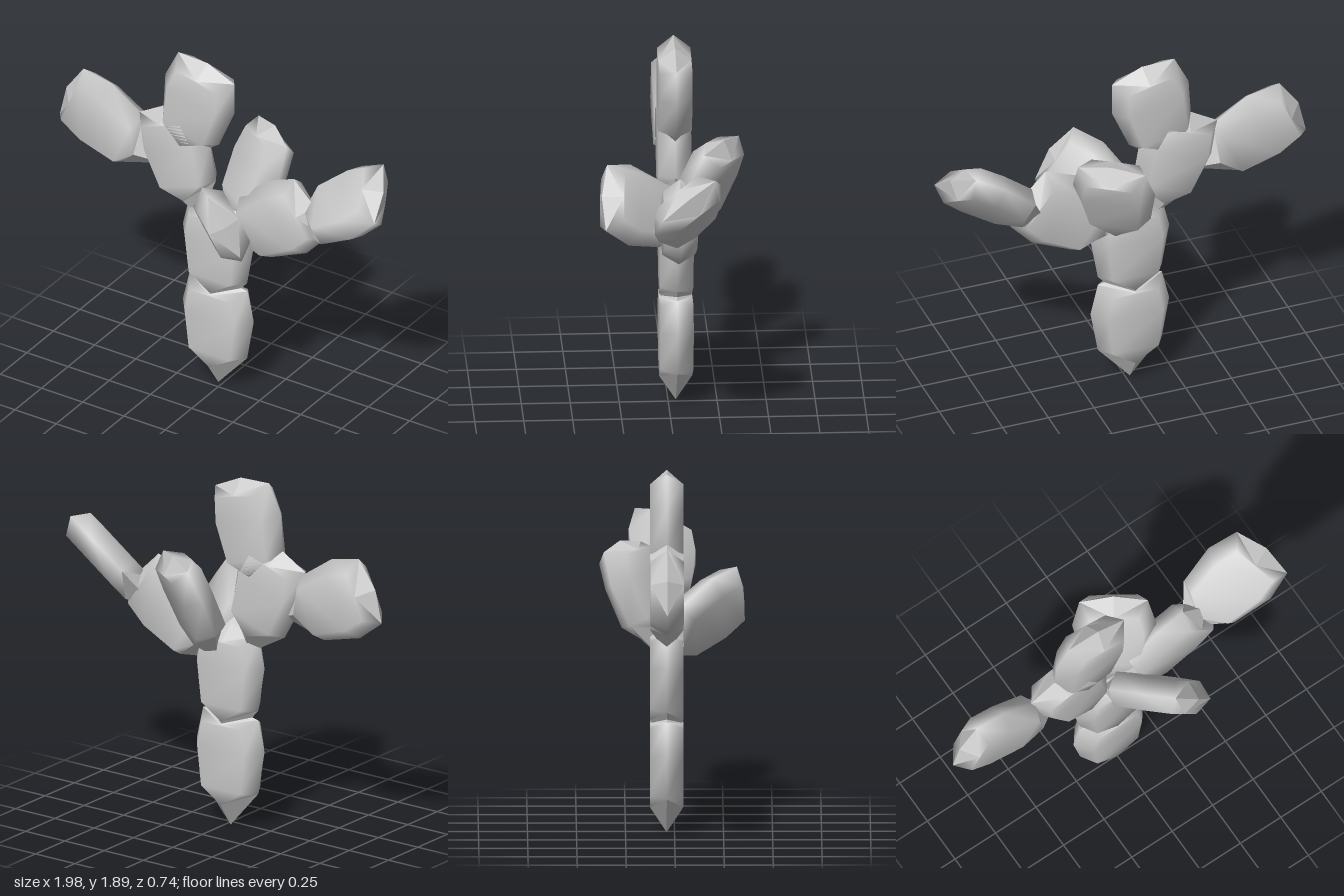
import * as THREE from 'three';

const material = new THREE.MeshStandardMaterial({ color: 0xcccccc });

// One cactus pad: y = 0 lies at its lower corners, the flat faces look along +-z
function padGeometry() {
  const depth = 0.085;
  // rows: [rim half width, rim y, face half width, face y]
  const rows = [[0.175, 0, 0.125, 0.01], [0.215, 0.23, 0.15, 0.22], [0.175, 0.4, 0.125, 0.355]];
  const points = [];
  for (const [w, y, fw, fy] of rows) {
    points.push([-w, y, 0], [-fw, fy, depth], [fw, fy, depth], [w, y, 0], [fw, fy, -depth], [-fw, fy, -depth]);
  }
  // Middle points of the bottom and top edges of both faces
  const low = [points.length, points.length + 1];
  points.push([0, -0.07, depth], [0, -0.07, -depth]);
  const high = [points.length, points.length + 1];
  points.push([0, 0.36, depth], [0, 0.36, -depth]);

  // Smooth body
  const index = [];
  for (let i = 0; i < 6; i++) {
    const j = (i + 1) % 6, side = i < 3 ? 0 : 1;
    for (let r = 0; r < 12; r += 6) {
      index.push(r + i, r + j, r + 6 + j, r + i, r + 6 + j, r + 6 + i);
    }
    index.push(low[side], j, i, high[side], 12 + i, 12 + j);
  }

  // Sharp end caps use their own corners
  const cap = (a, b, c) => {
    for (const p of [a, b, c]) index.push(points.push(p) - 1);
  };
  const tip = [0, -0.2, 0], crown = [0, 0.435, 0];
  for (const side of [0, 1]) {
    const l = side ? 3 : 0, r = 3 - l;
    cap(tip, points[r], points[low[side]]);
    cap(tip, points[low[side]], points[l]);
    cap(crown, points[12 + l], points[high[side]]);
    cap(crown, points[high[side]], points[12 + r]);
  }

  const geometry = new THREE.BufferGeometry();
  geometry.setAttribute('position', new THREE.Float32BufferAttribute(points.flat(), 3));
  geometry.setIndex(index);
  geometry.computeVertexNormals();
  return geometry;
}

// name, position of the lower corners' centre, growth direction, width direction
const pads = [
  ['rootPad', [-0.025, 0.2, -0.04], [0, 1, 0], [1, 0, 0]],
  ['trunkPad', [-0.025, 0.65, -0.04], [0, 1, 0], [1, 0, 0]],
  ['rightBranchPad', [-0.205, 1.14, -0.04], [-0.33, 0.94, 0], [0.94, 0.33, 0]],
  ['rightOuterPad', [-0.55, 1.28, -0.04], [-0.91, 0.41, 0], [0.41, 0.91, 0]],
  ['topPad', [-0.19, 1.465, -0.04], [0.23, 0.97, 0], [0.97, -0.23, 0]],
  ['leftBranchPad', [0.2, 1.0, -0.04], [0.83, 0.56, 0], [0.56, -0.83, 0]],
  ['leftOuterPad', [0.61, 1.205, -0.06], [0.815, 0.575, 0], [0.37, -0.486, 0.8]],
  ['frontPad', [0.03, 1.03, 0.04], [0.545, 0.436, 0.72], [0.55, -0.835, 0]],
  ['backPad', [0.08, 1.077, -0.133], [0.2, 0.92, -0.33], [0.845, 0.03, 0.535]],
];

export function createModel() {
  const group = new THREE.Group();
  group.name = 'padCactus';
  const geometry = padGeometry();
  for (const [name, position, growth, width] of pads) {
    const up = new THREE.Vector3(...growth).normalize();
    const normal = new THREE.Vector3(...width).cross(up).normalize();
    const across = new THREE.Vector3().crossVectors(up, normal);
    const mesh = new THREE.Mesh(geometry, material);
    mesh.name = name;
    mesh.position.set(...position);
    mesh.quaternion.setFromRotationMatrix(new THREE.Matrix4().makeBasis(across, up, normal));
    group.add(mesh);
  }
  return group;
}
